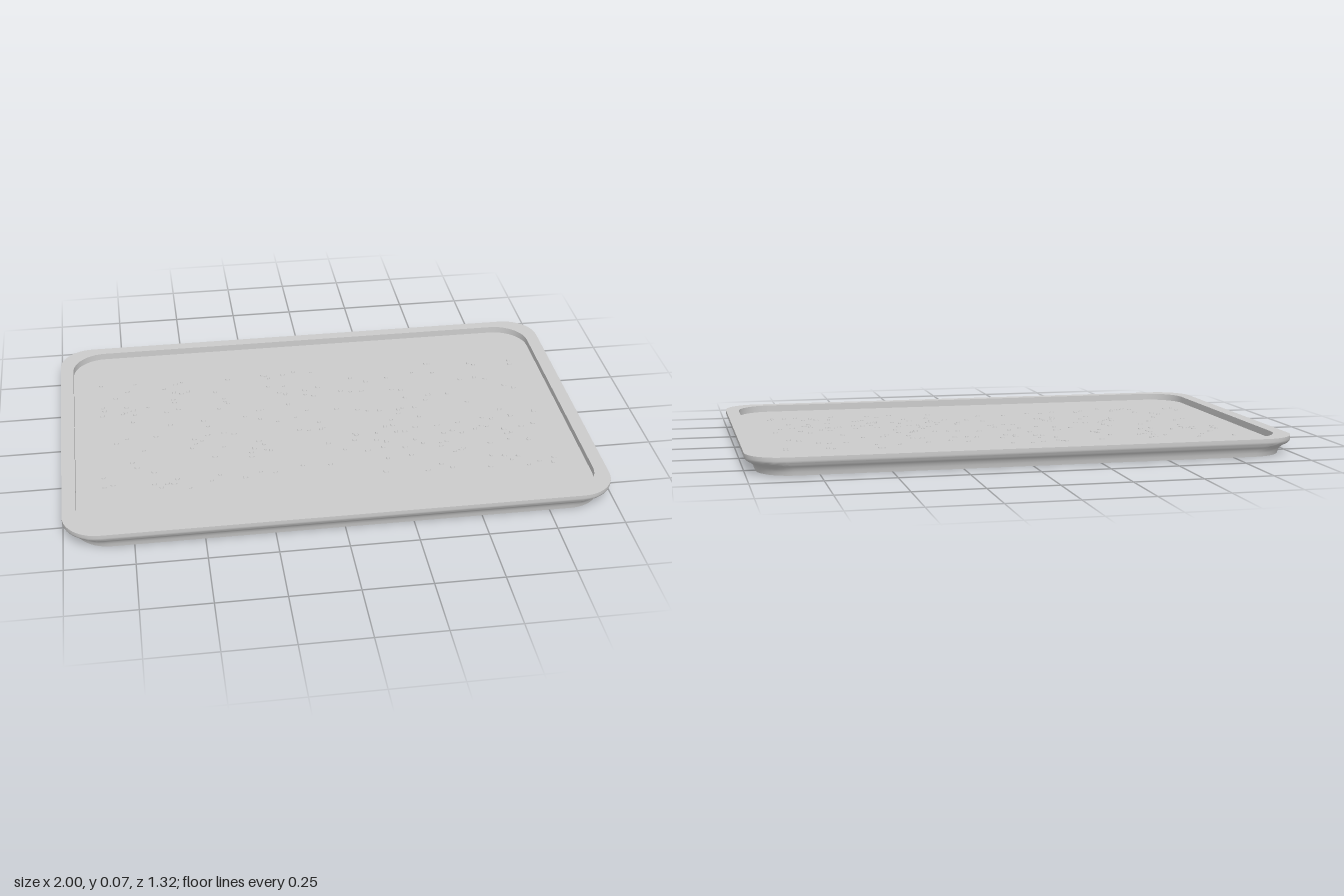
import * as THREE from 'three';
import { mergeGeometries, toCreasedNormals } from 'three/addons/utils/BufferGeometryUtils.js';

const material = new THREE.MeshStandardMaterial({ color: 0xcccccc });
const FLOOR = 0.042;
const UNDERSIDE = 0.034;

// Rounded rectangle ring at height y, counter-clockwise seen from above
function ring(halfX, halfZ, radius, y, steps = 10) {
  const points = [];
  for (let corner = 0; corner < 4; corner++) {
    const sx = corner === 0 || corner === 3 ? 1 : -1;
    const sz = corner < 2 ? 1 : -1;
    for (let i = 0; i <= steps; i++) {
      const a = (corner + i / steps) * Math.PI / 2;
      points.push([
        sx * (halfX - radius) + radius * Math.cos(a),
        y,
        -(sz * (halfZ - radius) + radius * Math.sin(a)),
      ]);
    }
  }
  return points;
}

// Skin through rings of equal length
function loft(rings) {
  const n = rings[0].length;
  const index = [];
  for (let r = 0; r < rings.length - 1; r++) {
    for (let i = 0; i < n; i++) {
      const j = (i + 1) % n;
      const a = r * n + i, b = r * n + j, c = a + n, d = b + n;
      index.push(a, b, d, a, d, c);
    }
  }
  const geometry = new THREE.BufferGeometry();
  geometry.setAttribute('position', new THREE.Float32BufferAttribute(rings.flat(2), 3));
  geometry.setIndex(index);
  return toCreasedNormals(geometry, 0.7);
}

function flatCentre(y) {
  return ring(0, 0, 0, y);
}

function createTray() {
  // [half length, half depth, height] from the hollow underside, around foot and lip, to the floor
  const profile = [
    [0.95, 0.625, UNDERSIDE], [0.953, 0.628, 0],
    [0.96, 0.635, 0], [0.963, 0.637, 0.013], [0.969, 0.641, 0.024],
    [0.979, 0.647, 0.033], [0.992, 0.655, 0.041], [0.998, 0.659, 0.048], [1, 0.66, 0.055],
    [1, 0.66, 0.068], [0.95, 0.617, 0.068], [0.95, 0.617, FLOOR],
  ];
  const rings = profile.map(([x, z, y]) => ring(x, z, 0.13, y));
  rings.unshift(flatCentre(UNDERSIDE));
  rings.push(flatCentre(FLOOR));
  const tray = new THREE.Mesh(loft(rings), material);
  tray.name = 'tray';
  return tray;
}

// Thin flat crumbs scattered over the tray floor
function createCrumbs() {
  let seed = 7;
  const random = () => {
    seed = (seed * 16807) % 2147483647;
    return seed / 2147483647;
  };
  const pieces = [];
  for (let i = 0; i < 200; i++) {
    const size = 0.006 + 0.004 * random();
    const crumb = new THREE.CylinderGeometry(size * 0.8, size, 0.004, 7);
    crumb.scale(1.2, 1, 0.9);
    crumb.rotateY(random() * Math.PI * 2);
    crumb.translate((random() * 2 - 1) * 0.85, FLOOR + 0.002, (random() * 2 - 1) * 0.4);
    pieces.push(crumb);
  }
  const crumbs = new THREE.Mesh(mergeGeometries(pieces), material);
  crumbs.name = 'crumbs';
  return crumbs;
}

export function createModel() {
  const model = new THREE.Group();
  model.name = 'servingTray';
  model.add(createTray(), createCrumbs());
  return model;
}
